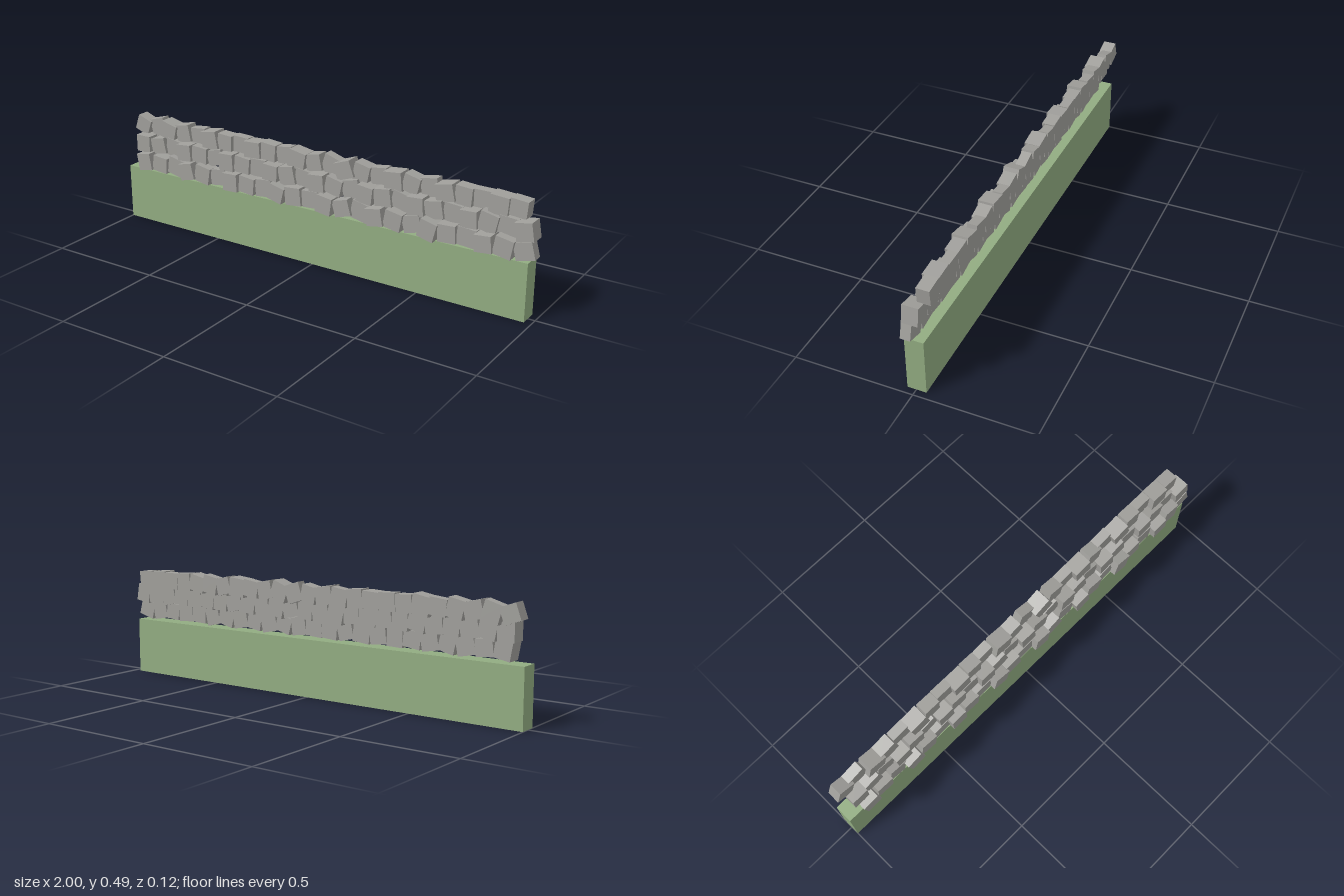
import * as THREE from 'three';

export function createModel() {
  const model = new THREE.Group();
  const grass = new THREE.MeshStandardMaterial({ color: 0x92ac81 });
  const stone = new THREE.MeshStandardMaterial({ color: 0xa09f9b });
  grass.name = 'grass green';
  stone.name = 'stone grey';

  function addBox(parent, name, size, position, material, tilt = 0) {
    const mesh = new THREE.Mesh(new THREE.BoxGeometry(...size), material);
    mesh.name = name;
    mesh.position.set(...position);
    mesh.rotation.z = THREE.MathUtils.degToRad(tilt);
    parent.add(mesh);
  }

  // Grassy bank under the wall
  addBox(model, 'bank', [1.97, 0.245, 0.079], [-0.015, 0.1225, -0.0025], grass);

  // Three courses, each stepping back; tilts in degrees for each stone
  const courses = [
    { name: 'lowerCourse', y: 0.29, back: -0.005, from: -0.89, to: 0.95,
      tilts: [10, -5, -12, 14, -10, 8, 2, -6, 6, -14, 5, 4, -8, 16, -12, 10, -10, 14, -14, 3, -4, 5, -10, 15] },
    { name: 'middleCourse', y: 0.364, back: -0.033, from: -0.915, to: 0.945,
      tilts: [0, 12, -10, 5, -4, 14, 3, -6, 2, -3, 12, -8, 5, -12, 14, -6, 8, -14, 4, 10, -5, 3, -12, -4, 10] },
    { name: 'upperCourse', y: 0.437, back: -0.061, from: -0.945, to: 0.9,
      tilts: [-20, 16, -14, 12, 6, 10, -3, -2, 3, -5, 8, -10, 12, -18, 20, -12, 8, 6, -14, 10, 12, -4, 0, -4, -5] },
  ];
  const depths = [0.067, 0.055, 0.042];
  const heights = [0.076, 0.07, 0.078, 0.073];
  let index = 0;
  for (const { name, y, back, from, to, tilts } of courses) {
    const course = new THREE.Group();
    course.name = name;
    tilts.forEach((tilt, i) => {
      const x = THREE.MathUtils.lerp(from, to, i / (tilts.length - 1));
      const depth = depths[index % 3];
      addBox(course, 'stone', [0.073 + 0.004 * (i % 3), heights[index % 4], depth],
        [x, y, back + depth / 2], stone, tilt);
      index++;
    });
    model.add(course);
  }
  return model;
}
